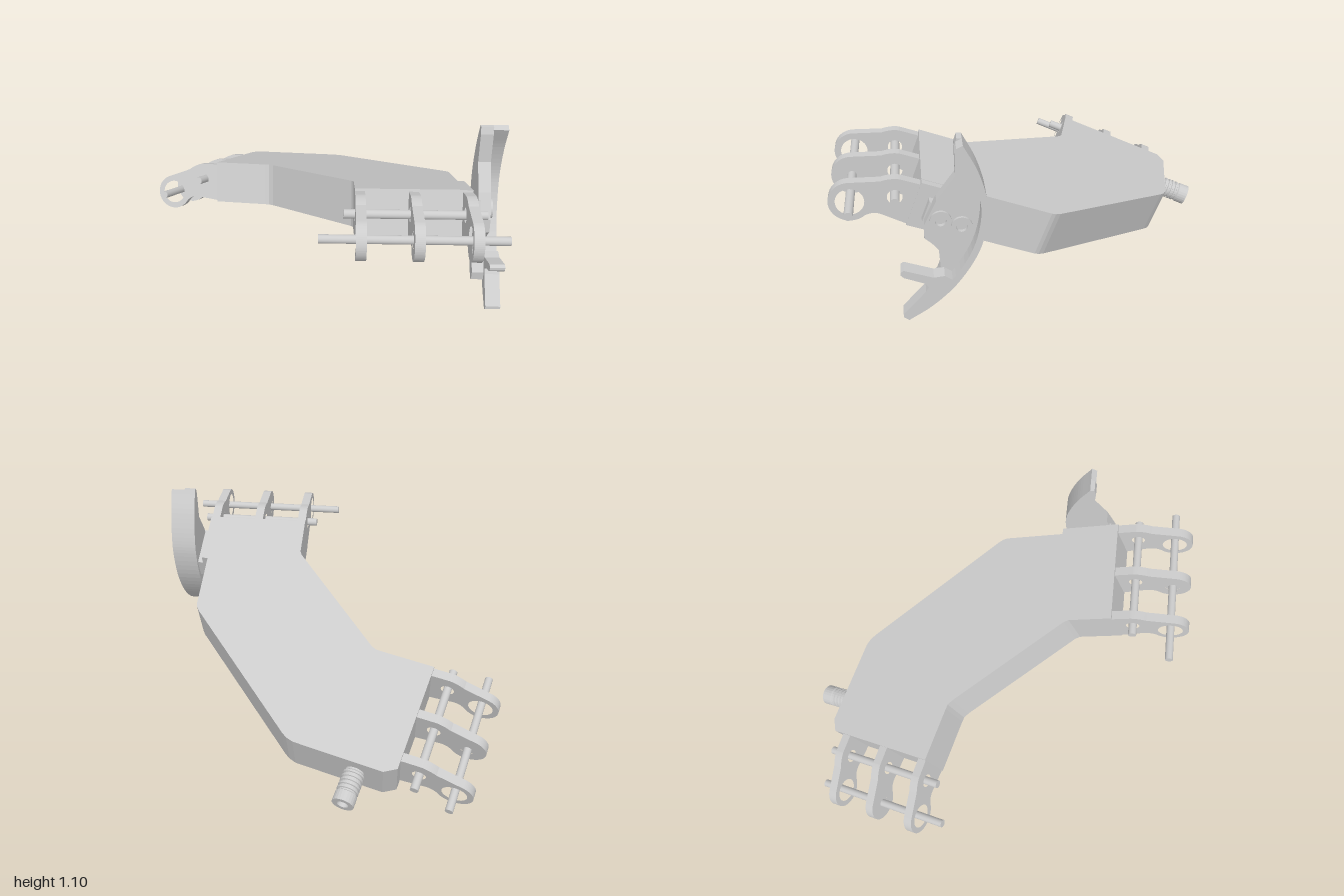
import * as THREE from 'three';

const mat = new THREE.MeshStandardMaterial({ color: 0xcccccc });
const TILT = THREE.MathUtils.degToRad(21);
const COS = Math.cos(TILT);

function add(parent, name, geometry) {
  const mesh = new THREE.Mesh(geometry, mat);
  mesh.name = name;
  parent.add(mesh);
  return mesh;
}

// Extrudes a (z, y) profile along x between x0 and x1
function sidePlate(shape, x0, x1) {
  const g = new THREE.ExtrudeGeometry(shape, { depth: x1 - x0, bevelEnabled: false, curveSegments: 20 });
  return g.rotateY(-Math.PI / 2).translate(x1, 0, 0);
}

// Cylinder along x
function rod(x0, x1, y, z, r, sides = 20) {
  return new THREE.CylinderGeometry(r, r, x1 - x0, sides).rotateZ(Math.PI / 2).translate((x0 + x1) / 2, y, z);
}

function circleHole(z, y, r) {
  return new THREE.Path().absarc(z, y, r, 0, Math.PI * 2, true);
}

const shapeOf = (pts) => new THREE.Shape(pts.map(([a, b]) => new THREE.Vector2(a, b)));

// Washer-like tube along x
function ring(x0, x1, y, z, outer, inner) {
  const s = new THREE.Shape().absarc(z, y, outer, 0, Math.PI * 2, false);
  s.holes.push(circleHole(z, y, inner));
  return sidePlate(s, x0, x1);
}

// Three hinge lugs with two pins: x runs along the hinge, z points outward
function hinge(name, longPin, shortPin) {
  const g = new THREE.Group();
  g.name = name;
  const cz = 0.28, cy = -0.19, r = 0.098;
  [0, 0.26, 0.52].forEach((x, i) => {
    const s = new THREE.Shape();
    s.moveTo(-0.04, -0.012);
    s.lineTo(0.1, -0.014);
    s.quadraticCurveTo(0.14, -0.02, 0.18, -0.05);
    s.lineTo(cz + r * Math.cos(1.15), cy + r * Math.sin(1.15));
    s.absarc(cz, cy, r, 1.15, -2.6, true);
    s.quadraticCurveTo(0.165, -0.205, 0.12, -0.212);
    s.lineTo(-0.04, -0.232);
    s.holes.push(circleHole(cz, cy, i === 1 ? 0.04 : 0.066));
    s.holes.push(circleHole(0.093, -0.107, 0.036));
    add(g, 'hingeLug', sidePlate(s, x, x + 0.048));
  });
  add(g, 'longPin', rod(longPin[0], longPin[1], cy, cz, 0.021));
  add(g, 'shortPin', rod(shortPin[0], shortPin[1], -0.107, 0.093, 0.022));
  add(g, 'pinBushing', ring(0.262, 0.306, cy, cz, 0.041, 0.02));
  return g;
}

function buildArm() {
  const arm = new THREE.Group();
  arm.name = 'arm';
  arm.position.y = 0.645;
  arm.rotation.x = -TILT;

  // Bent slab, outline given as x and z of its top face
  const outline = [
    [0.205, 0.58], [0.74, 0.58], [0.74, -0.03], [0.735, -0.05], [0.72, -0.075],
    [0.16, -0.745], [0.135, -0.77], [0.1, -0.79], [-0.36, -0.91], [-0.43, -0.89],
    [-0.59, -0.33], [-0.3, -0.255], [-0.275, -0.247], [-0.25, -0.225], [0.195, 0.335], [0.205, 0.36],
  ].map(([x, z]) => [x, -z / COS]);
  const slab = new THREE.ExtrudeGeometry(shapeOf(outline), { depth: 0.235, bevelEnabled: false });
  add(arm, 'armBody', slab.rotateX(-Math.PI / 2).translate(0, -0.235, 0));

  // Mounting pad and spacer for the side blade
  add(arm, 'mountPad', new THREE.BoxGeometry(0.04, 0.232, 0.32).translate(0.755, -0.118, 0.461));
  add(arm, 'mountSpacer', new THREE.BoxGeometry(0.06, 0.11, 0.25).translate(0.79, -0.118, 0.44));

  const front = hinge('frontHinge', [-0.17, 0.7], [-0.055, 0.625]);
  front.position.set(0.205, 0, 0.621);
  const side = hinge('sideHinge', [-0.1, 0.71], [-0.085, 0.64]);
  side.position.set(-0.447, 0, -0.905);
  side.rotation.y = Math.atan2(-0.968, -0.25);
  arm.add(front, side);

  // Ribbed hollow connector on the rear wall
  const profile = [[0.03, 0.1], [0.03, 0.19], [0.057, 0.19], [0.057, 0.135]];
  for (let i = 0; i < 5; i++) {
    const y = 0.13 - i * 0.022;
    profile.push([0.05, y], [0.05, y - 0.008], [0.057, y - 0.01], [0.057, y - 0.02]);
  }
  profile.push([0.05, 0.015], [0.05, -0.04]);
  const pts = [[0, 0.1], ...profile].reverse().map(([r, y]) => new THREE.Vector2(r, y));
  const lathe = new THREE.LatheGeometry(pts, 24).toNonIndexed();
  lathe.computeVertexNormals();
  const connector = add(arm, 'rearConnector', lathe);
  connector.position.set(-0.22, -0.105, -0.93);
  connector.quaternion.setFromUnitVectors(
    new THREE.Vector3(0, 1, 0), new THREE.Vector3(0.25, 0, -0.968).normalize());
  return arm;
}

function buildBlade() {
  const blade = new THREE.Group();
  blade.name = 'sideBlade';
  const curve = new THREE.CatmullRomCurve3(
    [[0.395, 1.125], [0.335, 1.0], [0.297, 0.86], [0.293, 0.76], [0.335, 0.59], [0.44, 0.42], [0.56, 0.305], [0.675, 0.232]]
      .map(([z, y]) => new THREE.Vector3(z, y, 0)));
  const arc = curve.getPoints(36);
  const outer = arc.map((p) => [p.x, p.y]);

  // Curved rim, running into the lower tail
  const inner = arc.map((p, i) => {
    const t = curve.getTangent(i / 36);
    return [p.x - t.y * 0.032, p.y + t.x * 0.032];
  });
  const short = (list) => list.filter(([z, y]) => y > 0.32);
  add(blade, 'bladeRim', sidePlate(shapeOf([...outer, ...inner.slice().reverse()]), 0.87, 0.945));

  // Web with the hub that carries the bolts
  const bolts = [[0.505, 0.722], [0.41, 0.685]];
  const web = shapeOf([
    ...short(outer), [0.565, 0.335], [0.57, 0.38], [0.53, 0.43], [0.515, 0.47], [0.52, 0.56], [0.55, 0.6],
    [0.583, 0.63], [0.58, 0.7], [0.52, 0.82], [0.43, 0.94], [0.43, 1.09], [0.418, 1.125],
  ]);
  bolts.forEach(([z, y]) => web.holes.push(circleHole(z, y, 0.045)));
  add(blade, 'bladeWeb', sidePlate(web, 0.81, 0.872));
  bolts.forEach(([z, y]) => {
    add(blade, 'boltCollar', ring(0.81, 0.885, y, z, 0.049, 0.026));
    add(blade, 'bolt', rod(0.78, 0.865, y, z, 0.027));
  });

  // Hook and tail with a V-shaped gap between them
  const hook = shapeOf([
    [0.45, 0.43], [0.5, 0.465], [0.55, 0.46], [0.685, 0.51], [0.7, 0.5], [0.7, 0.485],
    [0.685, 0.47], [0.59, 0.43], [0.575, 0.41], [0.59, 0.385], [0.7, 0.265], [0.7, 0.25],
    [0.675, 0.232], [0.56, 0.305], [0.5, 0.358],
  ]);
  add(blade, 'bladeHook', sidePlate(hook, 0.87, 0.945));
  return blade;
}

export function createModel() {
  const model = new THREE.Group();
  model.name = 'linkArm';
  model.add(buildArm(), buildBlade());
  return model;
}
